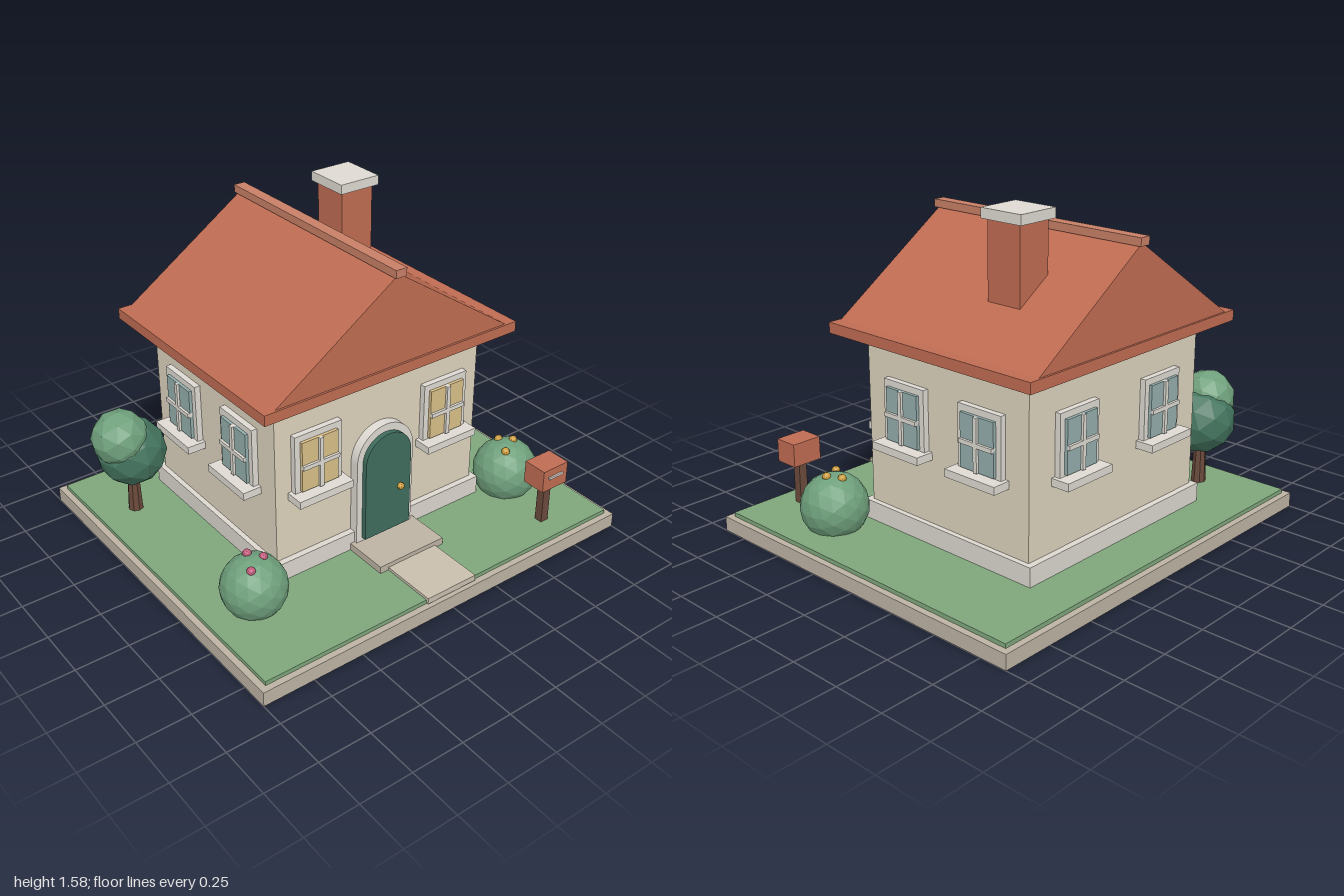
import * as THREE from 'three';

const COLORS = {
  stone: 0xbdb3a3, grass: 0x7fa67c, wall: 0xddd3bd, plinth: 0xdcd7cf, trim: 0xdedad3,
  roof: 0xbf6c52, ridge: 0xc77f66, door: 0x3f6c5d, glass: 0x93adab, litGlass: 0xd9bf88,
  wood: 0x6b4a3c, leaf: 0x6fa07c, darkLeaf: 0x44755f, path: 0xc9bfae, pink: 0xc25b7c, gold: 0xd0a040,
};
const materials = {};
for (const key in COLORS) {
  materials[key] = new THREE.MeshStandardMaterial({ color: COLORS[key], flatShading: true });
}

function add(parent, name, geometry, color, x = 0, y = 0, z = 0) {
  const mesh = new THREE.Mesh(geometry, materials[color]);
  mesh.name = name;
  mesh.position.set(x, y, z);
  parent.add(mesh);
  return mesh;
}

// Box given by its extents on each axis
function box(parent, name, color, [x0, x1], [y0, y1], [z0, z1]) {
  return add(parent, name, new THREE.BoxGeometry(x1 - x0, y1 - y0, z1 - z0), color,
    (x0 + x1) / 2, (y0 + y1) / 2, (z0 + z1) / 2);
}

function group(parent, name) {
  const g = new THREE.Group();
  g.name = name;
  parent.add(g);
  return g;
}

function extrude(shape, depth) {
  return new THREE.ExtrudeGeometry(shape, { depth, bevelEnabled: false, curveSegments: 20 });
}

// Round-topped slab outline
function archShape(halfWidth, bottom, spring) {
  const s = new THREE.Shape();
  s.moveTo(-halfWidth, bottom);
  s.lineTo(halfWidth, bottom);
  s.lineTo(halfWidth, spring);
  s.absarc(0, spring, halfWidth, 0, Math.PI, false);
  s.closePath();
  return s;
}

// Window on a wall: local z = 0 is the wall face, +z points outwards
function addWindow(parent, name, glassColor, x, z, turn) {
  const w = group(parent, name);
  w.position.set(x, 0.645, z);
  w.rotation.y = turn;
  box(w, 'windowFrame', 'trim', [-0.123, 0.123], [-0.15, 0.152], [-0.01, 0.028]);
  box(w, 'windowGlass', glassColor, [-0.095, 0.095], [-0.122, 0.122], [0, 0.043]);
  box(w, 'verticalBar', 'trim', [-0.01, 0.01], [-0.122, 0.122], [0.03, 0.055]);
  box(w, 'horizontalBar', 'trim', [-0.095, 0.095], [-0.01, 0.01], [0.03, 0.055]);
  box(w, 'windowSill', 'trim', [-0.142, 0.142], [-0.166, -0.13], [-0.01, 0.09]);
}

// Bush with blossoms scattered on top
function addBush(parent, name, x, z, radius, blossomColor, blossoms) {
  const b = group(parent, name);
  add(b, 'bushLeaves', new THREE.IcosahedronGeometry(radius, 2), 'leaf', x, 0.184, z);
  for (const [bx, by, bz] of blossoms) {
    add(b, 'blossom', new THREE.IcosahedronGeometry(0.02, 1), blossomColor, bx, by, bz);
  }
}

export function createModel() {
  const model = new THREE.Group();
  model.name = 'cottage';

  // Ground
  box(model, 'base', 'stone', [-1, 1], [0, 0.07], [-0.885, 0.885]);
  box(model, 'lawn', 'grass', [-0.97, 0.97], [0.06, 0.09], [-0.855, 0.855]);
  box(model, 'path', 'path', [-0.135, 0.135], [0.075, 0.104], [0.55, 0.867]);
  box(model, 'doorStep', 'stone', [-0.18, 0.18], [0.08, 0.125], [0.35, 0.597]);

  // Walls
  box(model, 'plinth', 'plinth', [-0.585, 0.585], [0.08, 0.18], [-0.63, 0.38]);
  box(model, 'walls', 'wall', [-0.56, 0.56], [0.1, 0.98], [-0.6, 0.35]);

  // Roof
  const roof = group(model, 'roof');
  box(roof, 'eaves', 'roof', [-0.68, 0.68], [0.97, 1.02], [-0.715, 0.465]);
  const gable = new THREE.Shape();
  gable.moveTo(-0.63, 1.015);
  gable.lineTo(0.63, 1.015);
  gable.lineTo(0, 1.44);
  gable.closePath();
  add(roof, 'gableRoof', extrude(gable, 1.16), 'roof', 0, 0, -0.705);
  box(roof, 'ridge', 'ridge', [-0.028, 0.028], [1.43, 1.467], [-0.72, 0.47]);

  // Chimney
  box(model, 'chimney', 'roof', [0.215, 0.385], [1.05, 1.535], [-0.39, -0.21]);
  box(model, 'chimneyCap', 'trim', [0.195, 0.405], [1.53, 1.575], [-0.412, -0.19]);

  // Door
  const door = group(model, 'door');
  add(door, 'doorFrame', extrude(archShape(0.157, 0.125, 0.54), 0.055), 'trim', 0, 0, 0.34);
  add(door, 'doorLeaf', extrude(archShape(0.127, 0.145, 0.533), 0.06), 'door', 0, 0, 0.36);
  add(door, 'doorKnob', new THREE.IcosahedronGeometry(0.017, 1), 'gold', 0.065, 0.365, 0.43);

  // Windows, two on each wall
  for (const side of [-1, 1]) {
    addWindow(model, 'frontWindow', 'litGlass', side * 0.354, 0.35, 0);
    addWindow(model, 'backWindow', 'glass', side * 0.28, -0.6, Math.PI);
    for (const z of [0.1, -0.35]) {
      addWindow(model, side > 0 ? 'leftWindow' : 'rightWindow', 'glass', side * 0.56, z, side * Math.PI / 2);
    }
  }

  // Letterbox on a post
  const letterbox = group(model, 'letterbox');
  box(letterbox, 'letterboxPost', 'wood', [0.659, 0.701], [0.08, 0.31], [0.706, 0.747]);
  box(letterbox, 'letterboxBody', 'roof', [0.605, 0.755], [0.3, 0.41], [0.668, 0.787]);
  box(letterbox, 'letterboxSlot', 'trim', [0.637, 0.723], [0.36, 0.371], [0.78, 0.795]);

  // Tree
  const tree = group(model, 'tree');
  add(tree, 'trunk', new THREE.CylinderGeometry(0.026, 0.036, 0.24, 8), 'wood', -0.79, 0.2, -0.495);
  add(tree, 'lowerCrown', new THREE.IcosahedronGeometry(0.165, 1), 'darkLeaf', -0.788, 0.41, -0.495);
  add(tree, 'upperCrown', new THREE.IcosahedronGeometry(0.135, 1), 'leaf', -0.845, 0.505, -0.484);

  // Bushes
  addBush(model, 'rightBush', -0.735, 0.43, 0.15, 'pink',
    [[-0.778, 0.312, 0.48], [-0.735, 0.328, 0.385], [-0.69, 0.322, 0.44]]);
  addBush(model, 'leftBush', 0.735, 0.415, 0.157, 'gold',
    [[0.73, 0.328, 0.363], [0.773, 0.335, 0.417], [0.683, 0.325, 0.462]]);

  return model;
}
